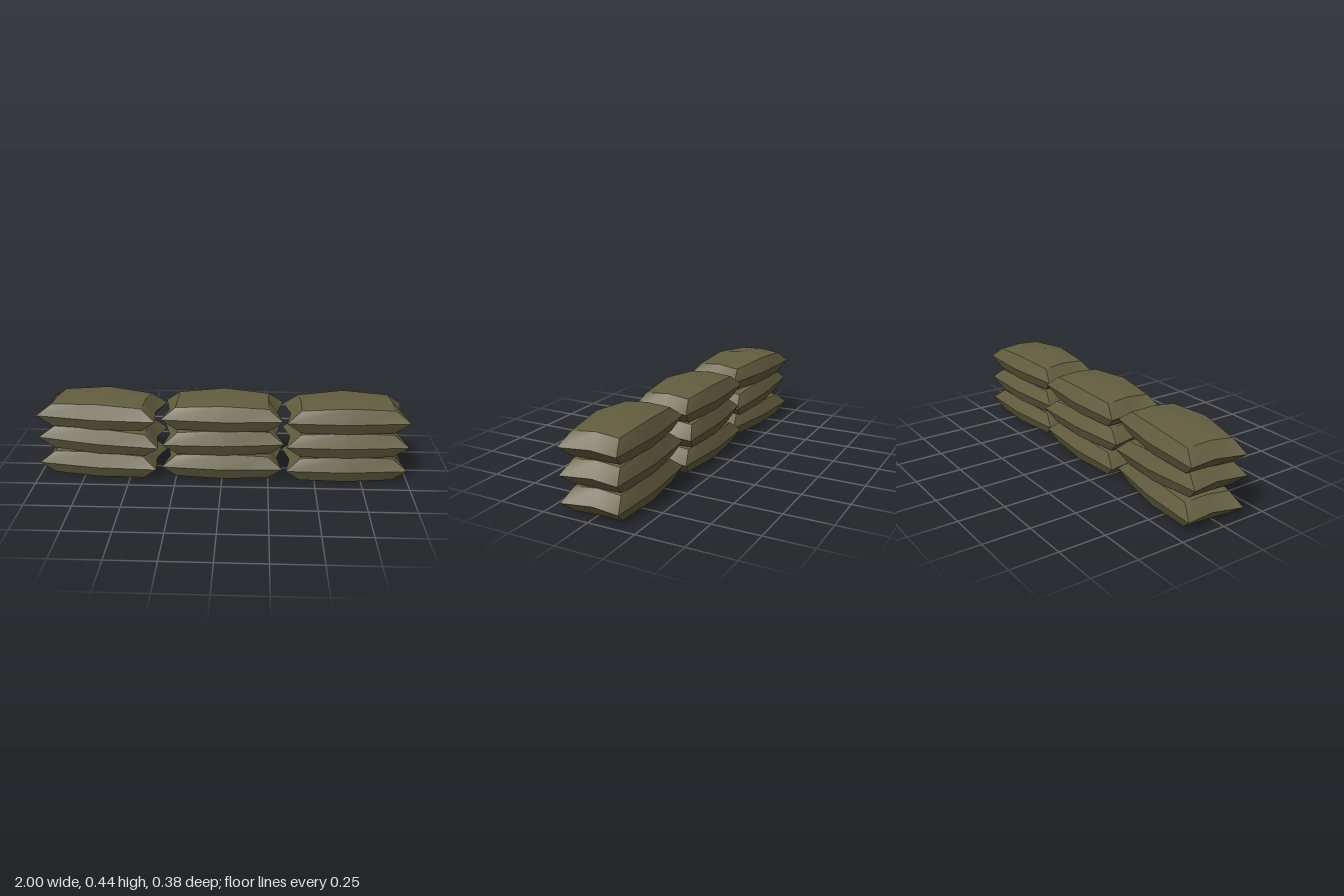
import * as THREE from 'three';

// Ring of 3x3 points: cx/cz corner reach, ex end-middle reach, sz side-middle reach
function layer(cx, cz, ex, sz, [yCorner, yEnd, ySide, yMid]) {
  return (i, k) => {
    const x = i * (k === 0 ? ex : cx);
    const z = k * (i === 0 ? sz : cz);
    const y = i && k ? yCorner : i ? yEnd : k ? ySide : yMid;
    return [x, y, z];
  };
}

// Heights are measured from the seam, so a bag turns about its own middle
const S = 0.063;
const base = layer(0.25, 0.128, 0.245, 0.15, [-S, -S, -S, -S]);
const seam = layer(0.327, 0.155, 0.297, 0.176, [0, 0, 0, 0]);
const crown = layer(0.248, 0.125, 0.245, 0.146, [0.061, 0.072, 0.08, 0.099]);

// One bag: every panel has its own vertices, smooth inside and creased at its edges
function bagGeometry() {
  const pos = [], index = [];
  const panel = (rows) => {
    const start = pos.length / 3;
    rows.flat().forEach((p) => pos.push(...p));
    for (let r = 0; r < rows.length - 1; r++) {
      for (let c = 0; c < 2; c++) {
        const a = start + r * 3 + c, d = a + 3;
        index.push(a, a + 1, d + 1, a, d + 1, d);
      }
    }
  };
  const steps = [-1, 0, 1];
  // Top and underside
  panel([1, 0, -1].map((k) => steps.map((i) => crown(i, k))));
  panel(steps.map((k) => steps.map((i) => base(i, k))));
  // Lower and upper slopes on all four sides
  const sides = [
    (t) => [t, 1], (t) => [1, -t], (t) => [-t, -1], (t) => [-1, t],
  ];
  for (const side of sides) {
    for (const [low, high] of [[base, seam], [seam, crown]]) {
      panel([low, high].map((ring) => steps.map((t) => ring(...side(t)))));
    }
  }
  const geo = new THREE.BufferGeometry();
  geo.setAttribute('position', new THREE.Float32BufferAttribute(pos, 3));
  geo.setIndex(index);
  geo.computeVertexNormals();
  return geo;
}

export function createModel() {
  const model = new THREE.Group();
  model.name = 'sandbagWall';
  const canvas = new THREE.MeshStandardMaterial({ color: 0x635e40 });
  canvas.name = 'oliveCanvas';
  const geo = bagGeometry();

  // Columns: position, then the turn of each bag from the bottom up
  const columns = [
    { name: 'right', x: -0.66, z: 0, turn: [-0.11, -0.05, -0.11], tilt: [0, -0.065, 0] },
    { name: 'middle', x: 0.002, z: 0, turn: [-0.015, 0.05, -0.015], tilt: [0, 0, 0] },
    { name: 'left', x: 0.665, z: 0.01, turn: [0.04, 0.04, 0.04], tilt: [0, 0, 0] },
  ];
  const rows = ['Bottom', 'Centre', 'Top'];
  for (const col of columns) {
    rows.forEach((row, r) => {
      const bag = new THREE.Mesh(geo, canvas);
      bag.name = `${col.name}${row}Sandbag`;
      bag.position.set(col.x, S + r * 0.1377, col.z);
      bag.rotation.set(0, col.turn[r], col.tilt[r]);
      model.add(bag);
    });
  }
  return model;
}
